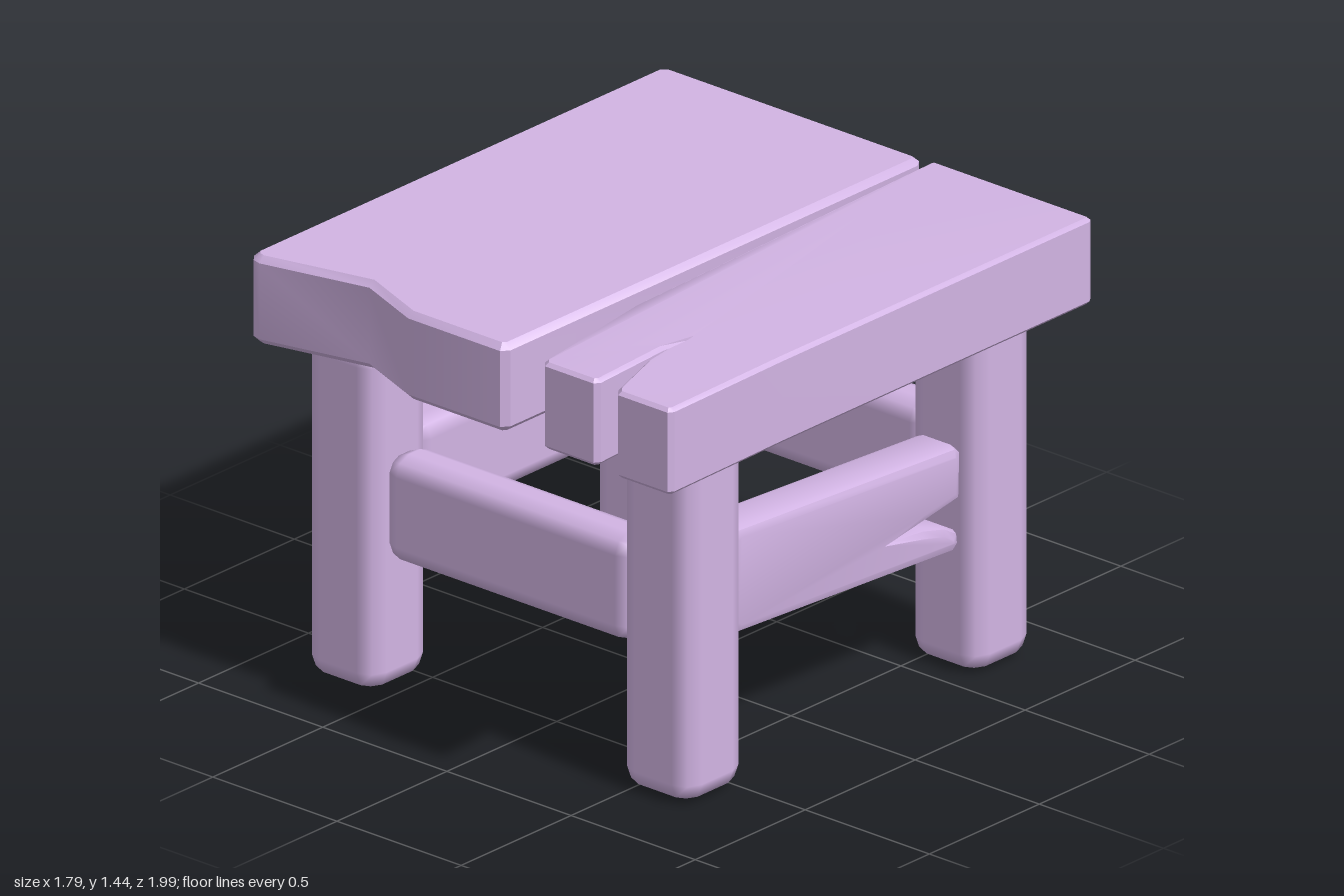
import * as THREE from 'three';
import { RoundedBoxGeometry } from 'three/addons/geometries/RoundedBoxGeometry.js';
import { toCreasedNormals } from 'three/addons/utils/BufferGeometryUtils.js';

const material = new THREE.MeshStandardMaterial({ color: 0xd2b4e4 });

function addMesh(parent, name, geometry) {
  const mesh = new THREE.Mesh(geometry, material);
  mesh.name = name;
  parent.add(mesh);
  return mesh;
}

// Softly bevelled beam given by its minimum and maximum corners
function beam(parent, name, min, max, radius) {
  const size = max.map((v, i) => v - min[i]);
  const mesh = addMesh(parent, name, new RoundedBoxGeometry(...size, 1, radius));
  mesh.position.set(...max.map((v, i) => (v + min[i]) / 2));
}

// Bevelled slab whose outline stays at full size; depth is centred on zero
function slab(points, thickness, bevel, bevelSegments) {
  const shape = new THREE.Shape(points.map(([x, y]) => new THREE.Vector2(x, y)));
  const geometry = new THREE.ExtrudeGeometry(shape, {
    depth: thickness - 2 * bevel, bevelThickness: bevel, bevelSize: bevel,
    bevelOffset: -bevel, bevelSegments,
  });
  return geometry.translate(0, 0, bevel - thickness / 2);
}

export function createModel() {
  const model = new THREE.Group();
  model.name = 'woodenTable';

  // Four chunky legs
  for (const [side, x] of [['Right', -0.67], ['Left', 0.6]]) {
    for (const [end, z] of [['front', 0.605], ['back', -0.705]]) {
      beam(model, `${end}${side}Leg`, [x - 0.14, 0, z - 0.135], [x + 0.14, 1.135, z + 0.135], 0.065);
    }
  }

  // Straight rails between the legs
  beam(model, 'frontRail', [-0.53, 0.44, 0.53], [0.47, 0.79, 0.7], 0.06);
  beam(model, 'backRail', [-0.53, 0.44, -0.81], [0.47, 0.79, -0.64], 0.06);
  beam(model, 'rightRail', [-0.755, 0.44, -0.57], [-0.585, 0.79, 0.47], 0.06);

  // Sloping rail with a split rear end, outlined in (z, y)
  const splitRail = slab([
    [0.47, 0.79], [0.475, 0.49], [0.44, 0.465], [-0.54, 0.412], [-0.565, 0.435],
    [-0.56, 0.475], [-0.5, 0.51], [-0.4, 0.535], [-0.26, 0.54], [-0.4, 0.552],
    [-0.57, 0.58], [-0.575, 0.735], [-0.55, 0.757], [0.44, 0.813],
  ].reverse(), 0.17, 0.03, 2);
  splitRail.rotateY(-Math.PI / 2).translate(0.6, 0, 0);
  addMesh(model, 'splitLeftRail', toCreasedNormals(splitRail, 0.6));

  // Wide top plank with a chipped front edge, outlined in (x, z)
  const widePlank = slab([
    [-0.87, -1], [0.13, -1], [0.15, -0.97], [0.15, 0.88], [0.13, 0.905],
    [-0.24, 0.905], [-0.48, 0.81], [-0.85, 0.893], [-0.88, 0.885], [-0.9, 0.86], [-0.9, -0.97],
  ], 0.29, 0.02, 1);
  widePlank.rotateX(Math.PI / 2).translate(0, 1.265, 0);
  addMesh(model, 'wideTopPlank', toCreasedNormals(widePlank, 0.6));

  // Narrow top plank, split into two prongs that bend upward at the front
  const splitPlank = slab([
    [0.195, -1], [0.82, -1], [0.83, -0.985], [0.83, 0.41], [0.89, 0.97], [0.88, 0.99],
    [0.68, 0.99], [0.655, 0.96], [0.56, 0.72], [0.535, 0.61], [0.53, 0.45], [0.527, 0.61],
    [0.577, 0.95], [0.565, 0.972], [0.37, 0.972], [0.35, 0.95], [0.23, 0.41], [0.187, -0.985],
  ], 0.285, 0.012, 1);
  splitPlank.rotateX(Math.PI / 2).translate(0, 1.2675, 0);
  const p = splitPlank.attributes.position;
  for (let i = 0; i < p.count; i++) {
    p.setY(i, p.getY(i) + 0.06 * Math.max(0, p.getZ(i) - 0.41));
  }
  addMesh(model, 'splitTopPlank', toCreasedNormals(splitPlank, 0.5));

  return model;
}
